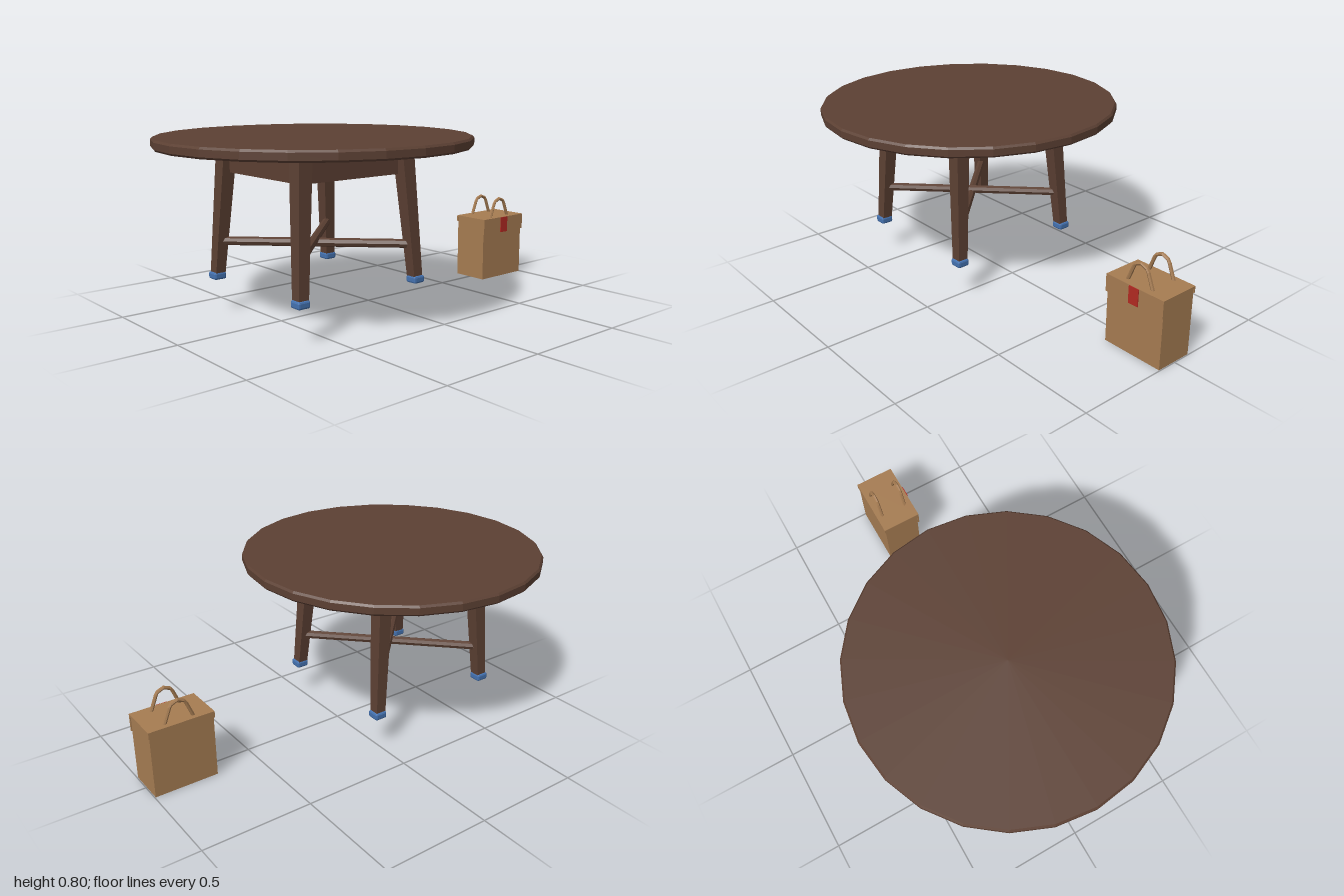
import * as THREE from 'three';
import { RoundedBoxGeometry } from 'three/addons/geometries/RoundedBoxGeometry.js';

const material = (name, color) => {
  const m = new THREE.MeshStandardMaterial({ color, flatShading: true });
  m.name = name;
  return m;
};

export function createModel() {
  const wood = material('dark wood', 0x5c4033);
  const blue = material('blue foot', 0x4472b0);
  const tan = material('tan leather', 0xa67c52);
  const red = material('red clasp', 0xb22a22);

  const add = (parent, name, geometry, mat, x = 0, y = 0, z = 0) => {
    const mesh = new THREE.Mesh(geometry, mat);
    mesh.name = name;
    mesh.position.set(x, y, z);
    parent.add(mesh);
    return mesh;
  };
  // box given by its minimum and maximum corners
  const box = (parent, name, mat, [x0, y0, z0], [x1, y1, z1]) =>
    add(parent, name, new THREE.BoxGeometry(x1 - x0, y1 - y0, z1 - z0), mat,
      (x0 + x1) / 2, (y0 + y1) / 2, (z0 + z1) / 2);

  const model = new THREE.Group();
  model.name = 'tableAndBag';

  // ---- table ----
  const table = new THREE.Group();
  table.name = 'table';
  table.position.x = -0.31;
  model.add(table);

  // round top with chamfered rim
  const rim = [[0, 0.754], [0.683, 0.754], [0.69, 0.762], [0.69, 0.791], [0.682, 0.8], [0, 0.8]];
  add(table, 'tableTop',
    new THREE.LatheGeometry(rim.map(([r, y]) => new THREE.Vector2(r, y)), 24), wood);

  // tapered, splayed legs with feet
  const legBottom = 0.175, legTop = 0.756;
  for (const sx of [-1, 1]) for (const sz of [-1, 1]) {
    const geo = new THREE.BoxGeometry(1, 1, 1);
    const p = geo.attributes.position;
    for (let i = 0; i < p.count; i++) {
      const top = p.getY(i) > 0;
      const width = top ? 0.067 : 0.048;
      const offset = top ? 0.272 : 0.312;
      p.setXYZ(i, p.getX(i) * width + sx * offset, top ? legTop : legBottom,
        p.getZ(i) * width + sz * offset);
    }
    geo.computeVertexNormals();
    add(table, 'leg', geo, wood);
    add(table, 'foot', new RoundedBoxGeometry(0.059, 0.033, 0.059, 1, 0.008), blue,
      sx * 0.314, 0.1665, sz * 0.314);
  }

  // apron boards between the legs
  for (const s of [-1, 1]) {
    add(table, 'apron', new THREE.BoxGeometry(0.472, 0.12, 0.025), wood, 0, 0.695, s * 0.27);
    add(table, 'apron', new THREE.BoxGeometry(0.025, 0.12, 0.472), wood, s * 0.27, 0.695, 0);
  }

  // crossed diagonal stretchers
  for (const [s, y] of [[1, 0.341], [-1, 0.324]]) {
    const bar = add(table, 'stretcher', new THREE.CylinderGeometry(0.02, 0.02, 0.84, 8), wood, 0, y, 0);
    bar.quaternion.setFromUnitVectors(new THREE.Vector3(0, 1, 0),
      new THREE.Vector3(1, 0, -s).normalize());
  }

  // ---- bag ----
  const bag = new THREE.Group();
  bag.name = 'bag';
  bag.position.x = 0.85;
  model.add(bag);
  box(bag, 'bagBody', tan, [-0.146, 0, -0.087], [0.146, 0.31, 0.09]);
  box(bag, 'lidTop', tan, [-0.15, 0.305, -0.092], [0.15, 0.315, 0.098]);
  box(bag, 'frontFlap', tan, [-0.15, 0.236, 0.089], [0.15, 0.305, 0.098]);
  box(bag, 'backLip', tan, [-0.15, 0.285, -0.092], [0.15, 0.305, -0.086]);
  box(bag, 'clasp', red, [-0.025, 0.236, 0.097], [0.025, 0.314, 0.102]);

  // pair of angular arched handles
  const path = new THREE.CurvePath();
  const pts = [[-0.067, 0.308], [-0.033, 0.393], [0, 0.407], [0.033, 0.393], [0.067, 0.308]]
    .map(([x, y]) => new THREE.Vector3(x, y, 0));
  for (let i = 1; i < pts.length; i++) path.add(new THREE.LineCurve3(pts[i - 1], pts[i]));
  for (const z of [-0.063, 0.063]) {
    add(bag, 'handle', new THREE.TubeGeometry(path, 16, 0.008, 6), tan, 0, 0, z);
  }
  return model;
}
